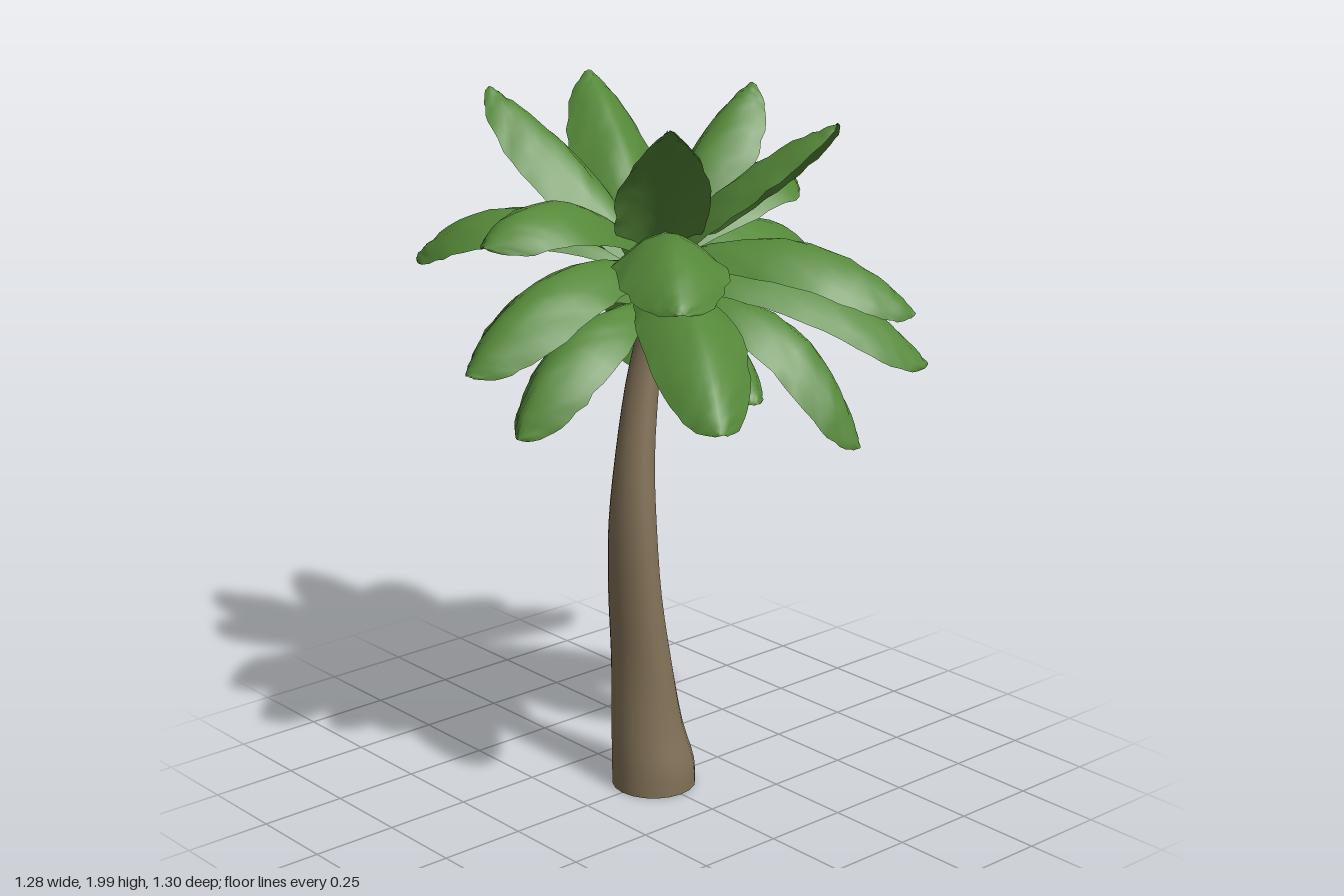
import * as THREE from 'three';

const bark = new THREE.MeshStandardMaterial({ color: 0x837258, side: THREE.DoubleSide });
const green = new THREE.MeshStandardMaterial({ color: 0x558839, side: THREE.DoubleSide });

// small seeded noise
let seed = 7;
const rnd = () => {
  seed = (seed * 16807) % 2147483647;
  return seed / 2147483647 - 0.5;
};

// Grid of points (rows x cols) to an indexed smooth surface
function gridGeometry(points, rows, cols) {
  const index = [];
  for (let i = 0; i < rows - 1; i++)
    for (let j = 0; j < cols - 1; j++) {
      const a = i * cols + j, b = a + cols;
      index.push(a, a + 1, b, a + 1, b + 1, b);
    }
  const g = new THREE.BufferGeometry().setFromPoints(points);
  g.setIndex(index);
  g.computeVertexNormals();
  return g;
}

// Trunk: smoothed elliptical rings, each a height with its left/right and back/front extents
function trunkGeometry() {
  const keys = [
    [0.01, -0.12, 0.12, -0.12, 0.12], [0.08, -0.12, 0.115, -0.12, 0.12], [0.2, -0.118, 0.08, -0.115, 0.1],
    [0.4, -0.112, 0.04, -0.112, 0.085], [0.6, -0.118, 0.008, -0.108, 0.072], [0.8, -0.118, -0.004, -0.1, 0.06],
    [1.0, -0.1, -0.002, -0.084, 0.042], [1.2, -0.062, 0.02, -0.078, 0.028], [1.36, -0.024, 0.037, -0.064, 0.022],
    [1.52, -0.015, 0.035, -0.04, 0.02]];
  const low = new THREE.CatmullRomCurve3(keys.map(([y, l, , b]) => new THREE.Vector3(l, y, b)));
  const high = new THREE.CatmullRomCurve3(keys.map(([y, , r, , f]) => new THREE.Vector3(r, y, f)));
  const rows = 28, sides = 20, pts = [];
  for (let i = 0; i < rows; i++) {
    const a = low.getPoint(i / (rows - 1)), b = high.getPoint(i / (rows - 1));
    for (let j = 0; j <= sides; j++) {
      const t = (-j / sides) * Math.PI * 2;
      pts.push(new THREE.Vector3(
        (a.x + b.x) / 2 + ((b.x - a.x) / 2) * Math.cos(t), a.y,
        (a.z + b.z) / 2 + ((b.z - a.z) / 2) * Math.sin(t)));
    }
  }
  return gridGeometry(pts, rows, sides + 1);
}

// half-width of a leaf along its length (0..1)
const outline = (pairs) => new THREE.SplineCurve(pairs.map(([x, y]) => new THREE.Vector2(x, y)));
const blunt = outline([[0, 0.35], [0.2, 0.72], [0.42, 1], [0.7, 1], [0.88, 0.78], [0.97, 0.45], [1, 0.12]]);
const pointed = outline([[0, 0.45], [0.2, 0.8], [0.42, 1], [0.65, 0.95], [0.85, 0.65], [0.95, 0.38], [1, 0.1]]);

// Leaf: arched midrib with a domed cross-section and a slightly ragged edge
function leafGeometry(profile, dome, tip, baseY, bendY, bend, halfWidth) {
  const out = new THREE.Vector3(tip.x, 0, tip.z);
  const dir = out.clone().normalize();
  const side = new THREE.Vector3(dir.z, 0, -dir.x);
  const rib = new THREE.QuadraticBezierCurve3(
    new THREE.Vector3(0, baseY, 0), out.clone().multiplyScalar(bend).setY(bendY), tip);
  const rows = 21, cols = 11, pts = [];
  for (let i = 0; i < rows; i++) {
    const p = profile.getPoint(i / (rows - 1));
    const c = rib.getPoint(p.x), n = rib.getTangent(p.x).cross(side);
    const w = halfWidth * p.y;
    const ragged = [1 + rnd() * 0.1, 1 + rnd() * 0.1];
    for (let j = 0; j < cols; j++) {
      const v = (j / (cols - 1)) * 2 - 1, s = Math.abs(v);
      const edge = s === 1 ? ragged[v > 0 ? 1 : 0] : 1;
      pts.push(c.clone()
        .addScaledVector(side, v * w * edge)
        .addScaledVector(n, -w * dome * Math.pow(s, 1.6) + rnd() * 0.007));
    }
  }
  return gridGeometry(pts, rows, cols);
}

export function createModel() {
  const group = new THREE.Group();
  const add = (name, geometry, material) => {
    const m = new THREE.Mesh(geometry, material);
    m.name = name;
    group.add(m);
  };

  add('trunk', trunkGeometry(), bark);

  // each leaf: tip x, y, z, base height, bend height, bend position, half-width
  const tiers = [
    ['uprightLeaf', pointed, 0.7, [
      [0.36, 2, 0, 1.56, 1.88, 0.42, 0.125], [0.22, 1.97, 0.47, 1.56, 1.86, 0.46, 0.125],
      [-0.27, 2, 0.37, 1.56, 1.87, 0.46, 0.125], [-0.19, 1.99, -0.47, 1.56, 1.86, 0.46, 0.125],
      [0.15, 2, -0.45, 1.56, 1.87, 0.46, 0.12]]],
    ['middleLeaf', blunt, 0.62, [
      [-0.58, 1.68, 0, 1.56, 1.91, 0.62, 0.14], [0.52, 1.72, 0, 1.56, 1.88, 0.62, 0.14],
      [0.41, 1.45, 0.59, 1.55, 1.76, 0.62, 0.135], [-0.39, 1.58, 0.55, 1.56, 1.86, 0.62, 0.14],
      [-0.32, 1.5, -0.65, 1.55, 1.81, 0.62, 0.135], [0.35, 1.5, -0.58, 1.55, 1.84, 0.62, 0.135]]],
    ['lowLeaf', blunt, 0.62, [
      [-0.64, 1.35, 0, 1.54, 1.69, 0.6, 0.14], [0.64, 1.43, 0, 1.54, 1.76, 0.62, 0.14],
      [-0.34, 1.28, 0.645, 1.52, 1.65, 0.62, 0.13], [0.52, 1.28, 0.54, 1.52, 1.63, 0.62, 0.135]]],
    ['droopingLeaf', blunt, 0.62, [
      [-0.51, 1.16, 0.04, 1.44, 1.5, 0.7, 0.12], [0.25, 1.1, 0.55, 1.46, 1.57, 0.76, 0.12],
      [0.34, 1.1, -0.41, 1.46, 1.55, 0.76, 0.125], [-0.21, 1.17, -0.56, 1.46, 1.57, 0.74, 0.12],
      [-0.04, 1.26, 0.46, 1.45, 1.5, 0.65, 0.08]]],
  ];
  for (const [name, profile, dome, leaves] of tiers)
    leaves.forEach(([x, y, z, ...shape], i) =>
      add(name + (i + 1), leafGeometry(profile, dome, new THREE.Vector3(x, y, z), ...shape), green));

  return group;
}
